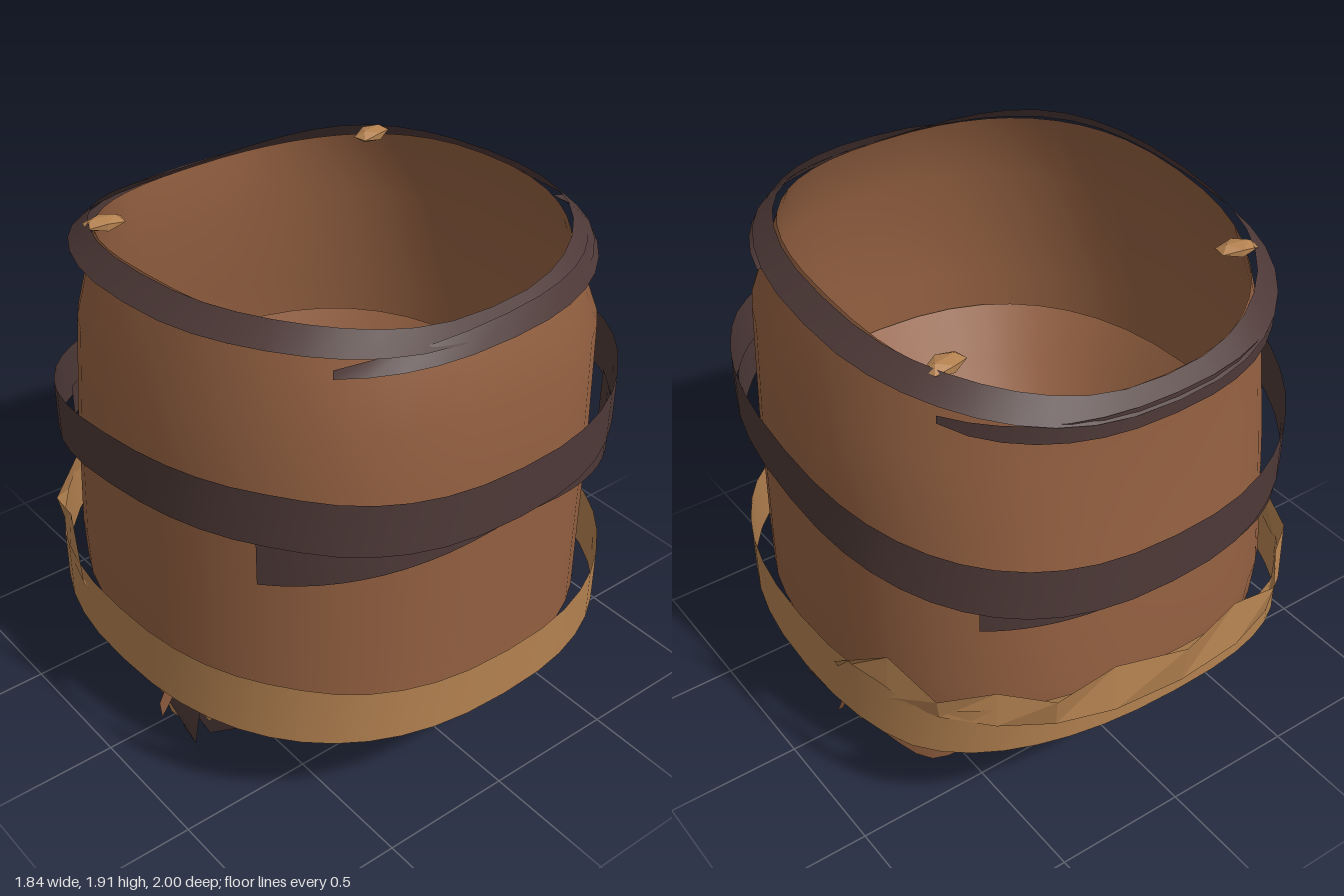
import * as THREE from 'three';

const mat = (name, color) => Object.assign(new THREE.MeshStandardMaterial({ color, side: THREE.DoubleSide }), { name });

// Point on a rounded oval: angle 0 is the front, PI/2 is +x, PI is the back
const oval = (a, rx, zf, zb) => {
  const soft = (v) => Math.sign(v) * Math.abs(v) ** 0.84;
  const c = soft(Math.cos(a));
  return [rx * soft(Math.sin(a)), c > 0 ? c * zf : -c * zb];
};

// Surface from a rule f(u, v) => [x, y, z]
function sheet(f, nu, nv, closed = false) {
  const pos = [], idx = [];
  const cols = closed ? nu : nu + 1;
  for (let j = 0; j <= nv; j++)
    for (let i = 0; i < cols; i++) pos.push(...f(i / nu, j / nv));
  for (let j = 0; j < nv; j++)
    for (let i = 0; i < nu; i++) {
      const a = j * cols + i, b = j * cols + ((i + 1) % cols);
      idx.push(a, b, b + cols, a, b + cols, a + cols);
    }
  const g = new THREE.BufferGeometry();
  g.setAttribute('position', new THREE.Float32BufferAttribute(pos, 3));
  g.setIndex(idx);
  g.computeVertexNormals();
  return g;
}

// Ribbon on an oval between two angles; lo and hi give edge heights, lean pulls the top edge in
function ribbon([rx, zf, zb, lean = 0], a0, a1, lo, hi, n = 48, closed = false) {
  return sheet((u, v) => {
    const [x, z] = oval(a0 + (a1 - a0) * u, rx - lean * v, zf - lean * v, zb + lean * v);
    return [x, lo(z, u) + (hi(z, u) - lo(z, u)) * v, z];
  }, n, 1, closed);
}

// Strap along paired edge points
const strap = (left, right) => sheet((u, v) => {
  const k = Math.round(u * (left.length - 1));
  return left[k].map((p, i) => p + (right[k][i] - p) * v);
}, left.length - 1, 1);

const rimY = (z) => 1.88 + 0.08 * z - 0.12 * z * z;
const frontDip = (z) => 0.045 * Math.max(0, (z - 0.7) / 0.3);

export function createModel() {
  const root = new THREE.Group();
  const brown = mat('brown leather', 0x925f40);
  const dark = mat('dark leather', 0x4d3937);
  const tan = mat('tan leather', 0xb38150);
  const black = mat('black lining', 0x1f1a19);
  const TAU = Math.PI * 2, PI = Math.PI;
  const add = (name, geo, m) => {
    const mesh = new THREE.Mesh(geo, m);
    mesh.name = name;
    root.add(mesh);
    return mesh;
  };

  // Open tube body, rows are rx, front z, back z, front y, back y
  const rows = [
    [0.85, 0.91, -0.86, 0.47, 0.5],
    [0.85, 0.91, -0.88, 0.65, 0.65],
    [0.84, 0.92, -0.83, 1.15, 1.15],
    [0.82, 0.92, -0.78, 1.6, 1.52],
    [0.71, 0.82, -0.79, 0, 0],
  ];
  add('body', sheet((u, v) => {
    const k = Math.round(v * 4), [rx, zf, zb, yf, yb] = rows[k];
    const [x, z] = oval(u * TAU, rx, zf, zb);
    return [x, k === 4 ? rimY(z) : yb + (yf - yb) * (z - zb) / (zf - zb), z];
  }, 48, 4, true), brown);

  // Low inner funnel, floor and flat underside
  add('lining', sheet((u, v) => {
    const [x, z] = oval(u * TAU, 0.83 - 0.25 * v, 0.91 - 0.36 * v, -0.82 + 0.15 * v);
    return [x, 1.0 - 0.5 * v, z];
  }, 40, 3, true), brown);
  add('floor', sheet((u, v) => {
    const [x, z] = oval(u * TAU, 0.58 * v, 0.55 * v, -0.67 * v);
    return [x, 0.5, z];
  }, 32, 1, true), brown);
  add('underside', sheet((u, v) => {
    const [x, z] = oval(u * TAU, 0.85 * v, 0.91 * v, -0.86 * v);
    return [x, 0.48, z];
  }, 32, 1, true), brown);

  // Rim cord with loose pointed ends
  add('rimBand', ribbon([0.8, 0.88, -0.87, 0.07], 0, TAU,
    (z, u) => rimY(z) - 0.025 - 0.045 * Math.sin(u * TAU) ** 8,
    (z, u) => rimY(z) + 0.008 + 0.025 * Math.sin(u * TAU * 2) ** 2, 40, true), dark);
  const bulge = (u) => Math.sin(u * PI) ** 0.6;
  add('rimFrontTail', ribbon([0.81, 0.9, -0.85, 0.04], -0.68, 1.25,
    (z, u) => 1.79 + 0.04 * u, (z, u) => 1.795 + 0.04 * u + 0.065 * bulge(u), 14), dark);
  add('rimBackTail', ribbon([0.8, 0.86, -0.86], PI - 0.95, PI + 0.95,
    (z, u) => 1.7 - 0.06 * bulge(u), (z) => 1.72 + 0.03 * (z + 0.86), 14), dark);

  // Waist belt, tilted down toward the back
  const beltY = (z) => 1.27 + 0.14 * z - 0.08 * z * z;
  add('waistBelt', ribbon([0.91, 0.995, -0.9], 0, TAU,
    (z) => beltY(z) - 0.1 - 0.9 * frontDip(z), (z) => beltY(z) + 0.1 - frontDip(z), 48, true), dark);
  for (const s of [-1, 1]) {
    add('beltFrontTail', ribbon([0.9, 0.985, -0.89], 0, s * 0.96,
      (z, u) => 1.19 - 0.13 * u, (z, u) => 1.21 + 0.05 * u, 12), dark);
    add('beltBackTail', ribbon([0.9, 0.98, -0.89], PI, PI - s * 0.72,
      (z, u) => 0.99 - 0.04 * u, (z, u) => 1.02 + 0.06 * u, 12), dark);
  }

  // Lower tan sash, rising and crumpled at the back
  const sashY = (z) => 0.51 + 0.03 * z + (z < -0.5 ? 0.16 * ((-0.5 - z) / 0.47) ** 1.5 : 0);
  add('sash', ribbon([0.915, 0.99, -0.96], 0, TAU,
    (z) => sashY(z) - 0.11, (z) => sashY(z) + (z < -0.5 ? 0.09 : 0.13) - frontDip(z), 48, true), tan);
  const crumple = [0, 0.13, 0.05, 0.09, 0.08, 0.14, 0.12];
  add('sashFold', sheet((u, v) => {
    const k = Math.round(u * 12), c = crumple[Math.min(k, 12 - k)];
    const out = 0.02 * v * Math.cos(k * PI);
    const [x, z] = oval(PI - 1.4 + 2.8 * u, 0.91 + out, 0.98, -0.98 - out);
    return [x, 0.56 + 0.03 * Math.sin(u * PI) + v * (0.04 + c), z];
  }, 12, 1).toNonIndexed(), tan).geometry.computeVertexNormals();

  // Back skirt hanging below, arched at its lower edge
  add('backSkirt', sheet((u, v) => {
    const ripple = 0.02 * Math.sin(u * 27) * v;
    const [x, z] = oval(PI * 0.5 + PI * u, 0.6 + 0.11 * v, 0.6, -0.63 + 0.05 * v + ripple);
    const low = Math.max(0.03, 0.23 - 0.5 * x * x) + ripple * 0.5;
    return [x, 0.52 + (low - 0.52) * v, z];
  }, 28, 3), brown);

  // Mirrored hanging straps beside the leg openings
  for (const s of [-1, 1]) {
    const m = (pts) => pts.map(([x, y, z]) => [x * s, y, z]);
    const part = (name, l, r, material) => add(name, strap(m(l), m(r)), material);
    part('innerLegStrap', [[0.24, 0.47, 0.24], [0.42, 0.24, 0.2], [0.57, 0.05, 0.12]],
      [[0.56, 0.47, 0.34], [0.65, 0.24, 0.26], [0.7, 0.02, 0.14]], dark);
    part('outerLegStrap', [[0.6, 0.47, 0.72], [0.64, 0.3, 0.5], [0.72, 0.1, 0.24]],
      [[0.66, 0.47, 0.5], [0.68, 0.36, 0.36], [0.74, 0.16, 0.18]], dark);
    part('legStrapLining', [[0.66, 0.47, 0.64], [0.68, 0.36, 0.52], [0.7, 0.24, 0.36]],
      [[0.67, 0.47, 0.36], [0.69, 0.38, 0.3], [0.71, 0.26, 0.24]], black);
    part('legStrapTrim', [[0.67, 0.47, 0.5], [0.7, 0.33, 0.36], [0.73, 0.17, 0.25]],
      [[0.67, 0.47, 0.46], [0.7, 0.34, 0.32], [0.73, 0.19, 0.21]], tan);
    part('legPanel', [[0.62, 0.47, 0.42], [0.66, 0.28, 0.3], [0.7, 0.12, 0.22]],
      [[0.62, 0.47, -0.1], [0.66, 0.28, -0.05], [0.7, 0.06, 0]], brown);
    part('sideStrap', [[0.66, 0.48, 0.04], [0.73, 0.2, 0.2], [0.79, 0.1, 0.25], [0.74, 0.03, 0.1]],
      [[0.66, 0.48, -0.14], [0.72, 0.2, -0.06], [0.74, 0.09, 0], [0.7, 0.02, 0]], dark);
    part('sideStrapTrim', [[0.66, 0.48, -0.13], [0.73, 0.2, -0.05], [0.72, 0.04, 0.14]],
      [[0.67, 0.48, -0.19], [0.74, 0.2, -0.1], [0.72, 0.01, -0.02]], tan);
    part('hangingTip', [[0.66, 0.3, 0.06], [0.74, 0.15, 0.04], [0.79, 0.06, 0.03]],
      [[0.66, 0.3, 0.03], [0.74, 0.18, 0], [0.78, 0.1, 0]], brown);
    // Inner floor strap
    part('innerStrap', [[0, 0.52, 0.03], [0, 0.52, 0.25], [0.23, 0.52, 0.45]],
      [[0.28, 0.52, 0.03], [0.43, 0.52, 0.27], [0.4, 0.52, 0.34]], black);
    // Rim toggle
    const toggle = add('rimToggle', new THREE.IcosahedronGeometry(0.05, 0), tan);
    toggle.scale.set(1.6, 0.5, 1);
    toggle.position.set(0.58 * s, 1.83, -0.46);
    toggle.rotation.y = 0.2 * s;
  }

  // Strap crossing the inside with its trim
  add('crossStrap', strap([[-0.57, 0.6, -0.08], [-0.5, 0.72, -0.2], [0.5, 0.72, -0.2], [0.57, 0.6, -0.08]],
    [[-0.54, 0.53, 0.05], [-0.5, 0.53, 0.05], [0.5, 0.53, 0.03], [0.54, 0.53, 0.05]]), dark);
  add('crossStrapTrim', strap([[-0.5, 0.72, -0.2], [0.5, 0.72, -0.2]],
    [[-0.4, 0.72, -0.25], [0.4, 0.72, -0.25]]), tan);
  return root;
}
